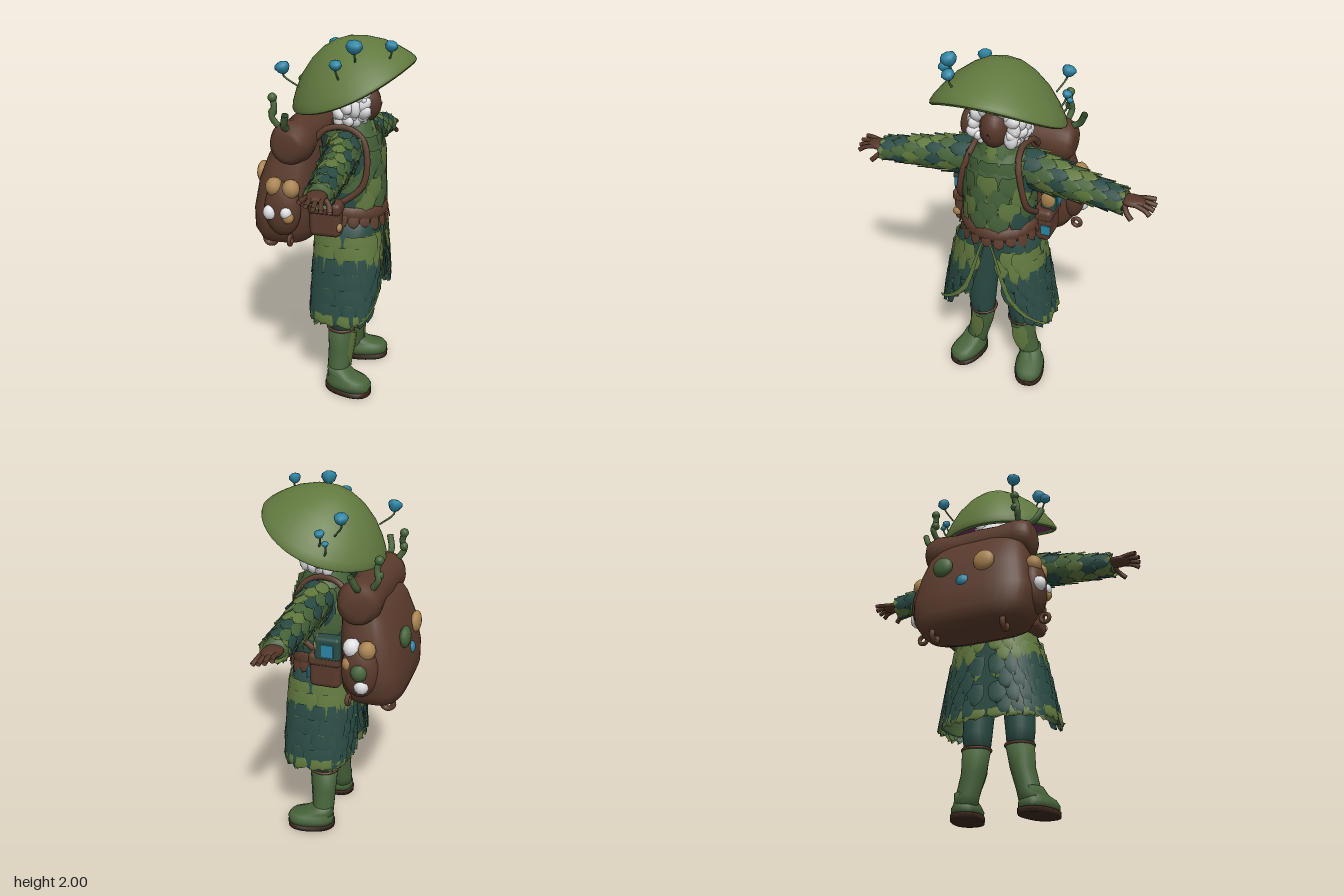
import * as THREE from 'three';
import { mergeGeometries } from 'three/addons/utils/BufferGeometryUtils.js';
import { RoundedBoxGeometry } from 'three/addons/geometries/RoundedBoxGeometry.js';

const V = (x, y, z) => new THREE.Vector3(x, y, z);

// One material per colour
const M = {};
for (const [name, hex] of Object.entries({
  lightGreen: 0x61783e, midGreen: 0x47633a, darkTeal: 0x2a4b44, leather: 0x5a3b2c, skin: 0x553629,
  soleBrown: 0x3a281d, plum: 0x703161, white: 0xe2e2e4, tan: 0xa98350, cyan: 0x2d86a4,
})) {
  M[name] = new THREE.MeshStandardMaterial({ color: hex, side: THREE.DoubleSide });
  M[name].name = name;
}

function add(parent, name, geo, mat, pos = [0, 0, 0], scale = [1, 1, 1], rot = [0, 0, 0]) {
  const m = new THREE.Mesh(geo, mat);
  m.name = name;
  m.position.set(...pos);
  m.scale.set(...scale);
  m.rotation.set(...rot);
  parent.add(m);
  return m;
}

// Skin over oval cross-sections [y, cx, cz, rx, rz]; e < 1 makes them squarer
const oval = (a, e) => [Math.cos(a), Math.sin(a)].map(v => Math.sign(v) * Math.abs(v) ** e);
function loft(rings, { n = 24, e = 1, caps = true } = {}) {
  const pos = [], idx = [];
  for (const [y, cx, cz, rx, rz] of rings) {
    for (let j = 0; j < n; j++) {
      const [c, s] = oval(j / n * Math.PI * 2, e);
      pos.push(cx + rx * c, y, cz + rz * s);
    }
  }
  const last = rings.length - 1;
  for (let i = 0; i < last; i++) for (let j = 0; j < n; j++) {
    const a = i * n + j, b = i * n + (j + 1) % n;
    idx.push(a, a + n, b, b, a + n, b + n);
  }
  if (caps) for (let j = 1; j < n - 1; j++) {
    idx.push(0, j, j + 1, last * n, last * n + j + 1, last * n + j);
  }
  const g = new THREE.BufferGeometry();
  g.setAttribute('position', new THREE.Float32BufferAttribute(pos, 3));
  g.setIndex(idx);
  g.computeVertexNormals();
  return g;
}

const tube = (pts, r, n = 16) => new THREE.TubeGeometry(
  new THREE.CatmullRomCurve3(pts.map(p => V(...p))), n, r, 8);
const ball = new THREE.SphereGeometry(1, 16, 12);

// Pointed cloth leaf hanging from its top edge, with a raised midrib
const leafGeo = new THREE.PlaneGeometry(1, 1, 2, 5).translate(0, -0.5, 0);
{
  const p = leafGeo.attributes.position;
  for (let i = 0; i < p.count; i++) {
    const t = -p.getY(i), x = p.getX(i);
    p.setXYZ(i, x * Math.min(1, 0.7 + t) * Math.sqrt(Math.max(0, 1 - t ** 2.5)), -t, 0.12 * (1 - 4 * x * x));
  }
  leafGeo.computeVertexNormals();
}
function leaf(bag, mat, p, normal, dir, w, l, lift = 0.15) {
  const n = normal.clone().normalize();
  const y = dir.clone().normalize().addScaledVector(n, lift).normalize().negate();
  const x = y.clone().cross(n).normalize();
  const z = x.clone().cross(y);
  const m = new THREE.Matrix4().makeBasis(x.multiplyScalar(w), y.multiplyScalar(l), z.multiplyScalar(w));
  (bag[mat] ??= []).push(leafGeo.clone().applyMatrix4(m.setPosition(p)));
}
function flush(bag, name, parent) {
  for (const k in bag) add(parent, name, mergeGeometries(bag[k]), M[k]);
}
const DOWN = V(0, -1, 0);

// Tilted broad hat with drooping sides, and its sprouting mushrooms
function buildHat(root) {
  const hat = new THREE.Group();
  hat.name = 'hat';
  hat.position.set(0.095, 1.735, 0);
  hat.rotation.z = 0.405;
  root.add(hat);
  const piece = (name, profile, mat) => {
    const g = loft(profile.map(([y, r]) => [y, 0, 0, r, r]), { n: 48, caps: false });
    const p = g.attributes.position;
    for (let i = 0; i < p.count; i++) p.setY(i, p.getY(i) - 0.045 * (p.getZ(i) / 0.34) ** 2);
    g.computeVertexNormals();
    add(hat, name, g, mat);
  };
  piece('hatDome', [[0, 0.345], [0.015, 0.346], [0.045, 0.33], [0.095, 0.29], [0.155, 0.23], [0.208, 0.15], [0.239, 0.075], [0.248, 0.001]], M.lightGreen);
  piece('hatLining', [[0.1, 0.001], [0.09, 0.1], [0.045, 0.23], [0.005, 0.318]], M.plum);
  piece('hatRim', [[0.005, 0.318], [-0.01, 0.333], [0, 0.345]], M.lightGreen);

  const cap = loft([[-0.8, 0, 0, 0.3, 0.3], [-0.5, 0, 0, 0.7, 0.7], [0.1, 0, 0, 1, 1], [0.5, 0, 0, 0.85, 0.85], [0.75, 0, 0, 0.3, 0.3]], { n: 7 });
  for (const [x, y, z, r] of [[-0.22, 1.845, 0.22, 0.04], [0.155, 1.965, 0.24, 0.044], [0.32, 1.965, 0.16, 0.034],
    [0.08, 1.885, 0.305, 0.033], [-0.09, 1.895, -0.29, 0.037], [0.01, 1.82, -0.32, 0.026], [-0.02, 1.775, -0.325, 0.018]]) {
    add(root, 'mushroomStem', tube([[x * 0.8 + 0.03, y - 0.1, z * 0.85], [x, y - 0.04, z * 0.97], [x, y, z]], 0.005, 6), M.midGreen);
    add(root, 'mushroomCap', cap, M.cyan, [x, y, z], [r, r, r], [z, 0, -x]);
  }
}

function buildHead(root) {
  add(root, 'head', ball, M.skin, [0.142, 1.642, 0], [0.1, 0.108, 0.08]);
  add(root, 'nose', new THREE.ConeGeometry(0.02, 0.05, 8), M.skin, [0.234, 1.632, 0], [1, 1, 1], [0, 0, -0.6]);
  add(root, 'hairBack', ball, M.white, [0.08, 1.665, 0], [0.1, 0.125, 0.145]);
  // Curly tufts framing the face
  const tuft = new THREE.IcosahedronGeometry(1, 1), frizz = [];
  for (let k = 0; k < 4; k++) for (let i = 0; i < 24; i++) {
    const a = -0.85 + (i + k % 2 * 0.5) / 23.5 * (Math.PI + 1.7), r = 0.027 + (i * 7 + k * 3) % 5 * 0.005;
    const spread = 0.1 + 0.014 * Math.min(k, 2);
    frizz.push(tuft.clone().scale(r * 0.7, r * 1.2, r * 0.8).rotateX(i).rotateY(i * 2 + k)
      .translate(0.17 - k * 0.042, 1.655 + Math.sin(a) * (spread + 0.002), Math.cos(a) * (spread + 0.008)));
  }
  add(root, 'hairTufts', mergeGeometries(frizz), M.white);
}

function buildTorso(root) {
  const rings = [[1.0, 0.09, 0, 0.15, 0.19], [1.12, 0.1, 0, 0.145, 0.18], [1.25, 0.1, 0, 0.16, 0.185],
    [1.4, 0.09, 0, 0.165, 0.19], [1.47, 0.085, 0, 0.145, 0.17], [1.525, 0.09, 0, 0.1, 0.115], [1.57, 0.105, 0, 0.09, 0.095]];
  add(root, 'jacket', loft(rings), M.midGreen);
  const front = ['midGreen', 'lightGreen', 'midGreen', 'midGreen'], side = ['darkTeal', 'midGreen', 'darkTeal', 'lightGreen', 'midGreen'];
  const bag = {};
  rings.slice(2, 5).forEach(([y, cx, , rx, rz], k) => {
    for (let h = 0; h < 2; h++) for (let i = 0; i < 10; i++) {
      const a = (i + 0.5 * h) / 10 * Math.PI * 2, c = Math.cos(a), s = Math.sin(a);
      const mat = c > 0.7 ? front[(i + k + h * 2) % 4] : side[(i * 2 + k + h) % 5];
      leaf(bag, mat, V(cx + (rx + 0.003) * c, y + 0.02 - h * 0.07, (rz + 0.003) * s), V(c, 0, s), DOWN, 0.13, 0.13, 0.02);
    }
  });
  // Pale placket and collar points
  for (let i = 0; i < 7; i++) leaf(bag, 'lightGreen', V(i ? 0.262 : 0.24, 1.46 - i * 0.05, 0), V(1, 0, 0), DOWN, 0.055, 0.09, 0.02);
  for (let i = 0; i < 12; i++) {
    const a = i / 12 * Math.PI * 2, c = Math.cos(a), s = Math.sin(a);
    leaf(bag, i % 3 ? 'midGreen' : 'lightGreen', V(0.1 + 0.09 * c, 1.56, 0.095 * s), V(c, 0.3, s), DOWN, 0.06, 0.09, 0.3);
  }
  flush(bag, 'jacketLeaf', root);

  // Belt rising towards the back, with a ragged fringe
  add(root, 'belt', loft([[-0.05, 0, 0, 0.17, 0.19], [-0.03, 0, 0, 0.192, 0.215], [0.01, 0, 0, 0.2, 0.222], [0.04, 0, 0, 0.185, 0.205], [0.055, 0, 0, 0.16, 0.18]]),
    M.leather, [0.09, 1.085, 0], [1, 1, 1], [0, 0, -0.18]);
  const fringe = {};
  for (let i = 0; i < 20; i++) {
    const a = i / 20 * Math.PI * 2, c = Math.cos(a), s = Math.sin(a);
    leaf(fringe, 'leather', V(0.09 + 0.19 * c, 1.08 - 0.035 * c, 0.215 * s), V(c, 0, s), DOWN, 0.065, 0.05 + i % 3 * 0.01, 0.2);
  }
  flush(fringe, 'beltFringe', root);
}

// Half of the open leaf skirt; t runs from waist 0 to hem 1
function skirtPoint(a, t, out = 0) {
  const [c, s] = oval(a, 0.65);
  return V(0.09 + (0.165 + 0.012 * t + out) * c, 1.03 - 0.53 * t, (0.2 + 0.125 * t ** 0.7 + out) * s);
}
// Opening angle, sweeping outwards near the hem
const gap = t => 0.01 + 0.25 * t + 0.75 * t ** 7;
function skirtSheet(out, width, cols) {
  const g = new THREE.PlaneGeometry(1, 1, cols, 20), p = g.attributes.position;
  for (let i = 0; i < p.count; i++) {
    const t = 0.5 - p.getY(i), a = gap(t) + (0.5 - p.getX(i)) * width(t);
    p.setXYZ(i, ...skirtPoint(a, t, out).toArray());
  }
  g.computeVertexNormals();
  return g;
}
function buildSkirtHalf(g) {
  const half = t => Math.PI - gap(t);
  add(g, 'skirt', skirtSheet(0, half, 28), M.darkTeal);
  add(g, 'skirtLining', skirtSheet(-0.012, half, 28), M.midGreen);
  add(g, 'openingTrim', skirtSheet(0.03, t => 0.02 + 0.1 * t + 0.06 * t ** 6, 3), M.lightGreen);
  const bag = {};
  const rows = [[0.93, 'lightGreen', 0.06], [0.82, 'darkTeal', 0.11], [0.66, 'darkTeal', 0.13],
    [0.5, 'darkTeal', 0.14], [0.35, 'darkTeal', 0.14], [0.23, 'lightGreen', 0.12], [0.12, 'lightGreen', 0.11]];
  rows.forEach(([t, mat, len], k) => {
    const g0 = gap(Math.min(1, t + len)) + 0.04;
    for (let i = 0; i < 9; i++) {
      const a = g0 + (Math.PI - g0) * (i + (k % 2 ? 0.2 : 0.7)) / 9;
      const n = V(Math.cos(a), 0, Math.sin(a)), p = skirtPoint(a, t, 0.003);
      const l = len * (1 + i * 3 % 4 * 0.07);
      leaf(bag, mat, p, n, DOWN, 0.1 + 0.02 * t, l, 0.15);
      // Pale edge peeking out beneath some of the dark leaves
      if (mat === 'darkTeal' && (i + k) % 3 === 0) leaf(bag, 'lightGreen', p.clone().addScaledVector(n, -0.003), n, DOWN, 0.1, l + 0.014, 0.14);
    }
  });
  flush(bag, 'skirtLeaf', g);
}

function buildLeg(g) {
  add(g, 'trouserLeg', loft([[0.34, 0.07, 0.125, 0.07, 0.07], [0.45, 0.075, 0.125, 0.085, 0.08], [0.62, 0.08, 0.115, 0.09, 0.088], [0.85, 0.085, 0.1, 0.095, 0.095], [1.02, 0.09, 0.09, 0.1, 0.09]]), M.darkTeal);
  add(g, 'bootShaft', loft([[0.05, 0.06, 0.188, 0.06, 0.066], [0.12, 0.06, 0.172, 0.062, 0.064], [0.24, 0.065, 0.14, 0.07, 0.068], [0.37, 0.065, 0.125, 0.078, 0.078]]), M.midGreen);
  add(g, 'bootCuff', new THREE.TorusGeometry(0.077, 0.008, 8, 24), M.leather, [0.065, 0.365, 0.125], [1, 1, 1], [Math.PI / 2, 0, 0]);
  // Pale front panel hugging the shaft
  const panel = {};
  leaf(panel, 'lightGreen', V(0.14, 0.34, 0.13), V(1, 0, 0.2), V(-0.02, -0.18, 0.025), 0.1, 0.21, 0.02);
  flush(panel, 'bootPanel', g);
  const foot = new THREE.Group();
  foot.name = 'foot';
  foot.position.set(0.06, 0, 0.185);
  foot.rotation.y = -0.25;
  g.add(foot);
  add(foot, 'footUpper', loft([[0.025, 0.068, 0, 0.132, 0.082], [0.06, 0.07, 0, 0.136, 0.085], [0.085, 0.066, 0, 0.122, 0.072], [0.1, 0.03, 0, 0.085, 0.064], [0.135, 0, 0, 0.058, 0.06]], { e: 0.85 }), M.midGreen);
  add(foot, 'sole', loft([[0, 0.068, 0, 0.138, 0.087], [0.03, 0.068, 0, 0.139, 0.089]], { e: 0.85 }), M.soleBrown);
}

function buildArm(g) {
  const rings = [[0.1, 0.09, 1.415, 0.09, 0.1], [0.2, 0.085, 1.41, 0.08, 0.098], [0.35, 0.09, 1.385, 0.074, 0.073],
    [0.5, 0.1, 1.365, 0.066, 0.058], [0.64, 0.11, 1.358, 0.062, 0.05], [0.68, 0.11, 1.358, 0.06, 0.05]];
  add(g, 'sleeve', loft(rings.map(([z, x, y, rx, ry]) => [z, x, -y, rx, ry])), M.midGreen, [0, 0, 0], [1, 1, 1], [Math.PI / 2, 0, 0]);
  // Banded camouflage leaves ending in a pale cuff
  const bands = ['darkTeal', 'midGreen', 'darkTeal', 'midGreen', 'lightGreen', 'darkTeal', 'darkTeal', 'lightGreen'];
  const bag = {};
  bands.forEach((band, k) => {
    const z = 0.15 + k * 0.07, f = k / 7, cuff = k === 7;
    for (let i = 0; i < 9; i++) {
      const a = (i + k * 0.5) / 9 * Math.PI * 2, c = Math.cos(a), s = Math.sin(a);
      const mat = cuff || (i + k) % 3 ? band : ['midGreen', 'lightGreen'][(i + k) % 2];
      leaf(bag, mat, V(0.086 + 0.024 * f + (0.083 - 0.022 * f) * c, 1.415 - 0.057 * f + (0.1 - 0.05 * f) * s, z),
        V(c, s, 0), V(0.02, -0.1, 1), 0.08 - 0.02 * f, cuff ? 0.05 : 0.11, cuff ? 0.3 : 0.08);
    }
  });
  flush(bag, 'sleeveLeaf', g);
  // Hand with spread fingers
  add(g, 'palm', ball, M.skin, [0.105, 1.365, 0.715], [0.052, 0.024, 0.072]);
  for (let i = 0; i < 4; i++) {
    const x = 0.07 + i * 0.024;
    add(g, 'finger', tube([[x, 1.367, 0.73], [x - 0.003 + i * 0.004, 1.376 - i * 0.008, 0.79], [x - 0.01 + i * 0.01, 1.372 - i * 0.012, 0.838 - Math.abs(i - 1.3) * 0.012]], 0.0125, 6), M.skin);
  }
  add(g, 'thumb', tube([[0.13, 1.355, 0.68], [0.165, 1.325, 0.705], [0.178, 1.298, 0.735]], 0.014, 6), M.skin);
}

// Straps, pouches and trinkets on each side
function buildGear(g, side) {
  add(g, 'strap', tube([[-0.08, 1.46, 0.15], [-0.02, 1.52, 0.14], [0.09, 1.53, 0.125], [0.175, 1.48, 0.135], [0.21, 1.37, 0.165], [0.19, 1.24, 0.19], [0.06, 1.13, 0.21]], 0.017, 32), M.leather);
  add(g, 'hipPouch', new RoundedBoxGeometry(0.17, 0.18, 0.1, 3, 0.03), M.leather, [0.01, 1.06, 0.235]);
  add(g, 'pouchFlap', new RoundedBoxGeometry(0.18, 0.07, 0.11, 3, 0.025), M.leather, [0.01, 1.13, 0.237]);
  add(g, 'smallPouch', new RoundedBoxGeometry(0.14, 0.13, 0.08, 3, 0.02), M.darkTeal, [-0.01, 1.2, 0.255]);
  add(g, 'pouchPatch', new RoundedBoxGeometry(0.065, 0.07, 0.008, 2, 0.003), M.cyan, [-0.015, 1.195, 0.297]);
  add(g, 'frontPatch', new RoundedBoxGeometry(0.008, 0.06, 0.055, 2, 0.003), M.cyan, side > 0 ? [0.062, 1.205, 0.26] : [0.099, 1.05, 0.265]);
  add(g, 'frontButton', ball, M.tan, side > 0 ? [0.09, 1.03, 0.265] : [0.05, 1.215, 0.255], side > 0 ? [0.015, 0.025, 0.025] : [0.02, 0.05, 0.04]);
  add(g, 'sidePocket', ball, M.leather, [-0.2, 1.13, 0.325], [0.1, 0.15, 0.065]);
  const trinkets = side > 0
    ? [['tan', -0.24, 1.25, 0.335, 0.048], ['tan', -0.15, 1.245, 0.335, 0.048], ['white', -0.255, 1.12, 0.37, 0.038], ['white', -0.165, 1.125, 0.375, 0.032], ['tan', -0.155, 1.1, 0.372, 0.032]]
    : [['white', -0.16, 1.255, 0.335, 0.047], ['tan', -0.24, 1.25, 0.335, 0.047], ['tan', -0.15, 1.17, 0.345, 0.039], ['midGreen', -0.21, 1.14, 0.37, 0.046], ['white', -0.22, 1.06, 0.36, 0.042]];
  const nugget = new THREE.IcosahedronGeometry(1, 1);
  for (const [mat, x, y, z, r] of trinkets) add(g, 'trinket', nugget, M[mat], [x, y, z], [r, r * 1.1, r]);
  const ring = new THREE.TorusGeometry(0.026, 0.013, 8, 16);
  add(g, 'packLoop', ring, M.leather, [-0.32, 0.895, 0.2], [1.2, 1.2, 1.2]);
  add(g, 'packLoop', ring, M.leather, [-0.15, 0.97, 0.36], [0.9, 0.9, 0.9], [0, Math.PI / 2, 0]);
  // Sprouts curling from the roll
  add(g, 'sprout', tube([[-0.24, 1.55, 0.25], [-0.27, 1.6, 0.26], [-0.26, 1.65, 0.25], [-0.275, 1.7, 0.24]], 0.017), M.midGreen);
  for (const [y, r] of [[1.62, 0.023], [1.695, 0.024]]) add(g, 'sproutBud', ball, M.midGreen, [-0.27, y, 0.245], [r, r, r]);
  add(g, 'sprout', tube([[-0.17, 1.54, 0.26], [-0.18, 1.57, 0.33], [-0.16, 1.64, 0.365]], 0.018), M.midGreen);
}

function buildPack(root) {
  add(root, 'pack', loft([[0.9, -0.23, 0, 0.09, 0.22], [0.92, -0.235, 0, 0.15, 0.29], [0.99, -0.235, 0, 0.175, 0.335], [1.1, -0.23, 0, 0.178, 0.345],
    [1.25, -0.215, 0, 0.165, 0.32], [1.38, -0.19, 0, 0.14, 0.29], [1.46, -0.17, 0, 0.1, 0.26]], { n: 36, e: 0.62 }), M.leather);
  const roll = [[-0.32, 0.07], [-0.3, 0.1], [-0.24, 0.118], [-0.12, 0.105], [0, 0.11], [0.12, 0.105], [0.24, 0.118], [0.3, 0.1], [0.32, 0.07]];
  add(root, 'bedRoll', loft(roll.map(([z, r]) => [z, 0, 0, r, r])), M.leather, [-0.17, 1.465, 0], [1, 1, 1], [Math.PI / 2, 0, 0]);
  for (const [mat, y, z, r] of [['midGreen', 1.26, -0.13, 0.058], ['cyan', 1.15, -0.01, 0.038], ['tan', 1.25, 0.11, 0.06]]) {
    add(root, 'backTrinket', ball, M[mat], [-0.385, y, z], [0.03, r, r]);
  }
}

export function createModel() {
  const root = new THREE.Group();
  root.name = 'forager';
  buildHat(root);
  buildHead(root);
  buildTorso(root);
  buildPack(root);
  // Paired parts, mirrored across the body
  for (const [name, build] of Object.entries({ skirtHalf: buildSkirtHalf, leg: buildLeg, arm: buildArm, sideGear: buildGear })) {
    for (const s of [1, -1]) {
      const g = new THREE.Group();
      g.name = name;
      g.scale.z = s;
      build(g, s);
      root.add(g);
    }
  }
  return root;
}
